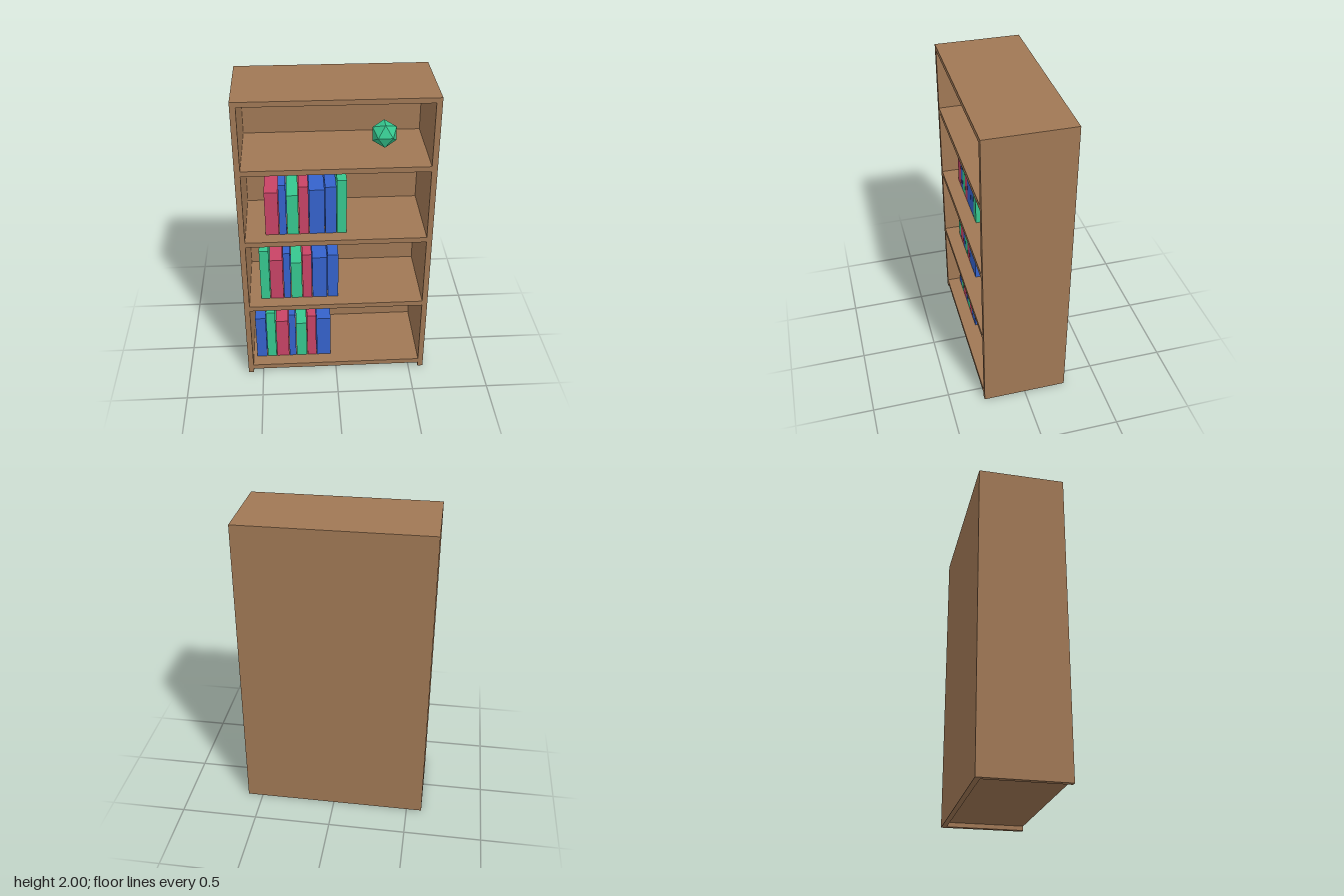
import * as THREE from 'three';

const wood = new THREE.MeshStandardMaterial({ name: 'wood brown', color: 0xa07855 });
const red = new THREE.MeshStandardMaterial({ name: 'book red', color: 0xc84466 });
const blue = new THREE.MeshStandardMaterial({ name: 'book blue', color: 0x3563cc });
const green = new THREE.MeshStandardMaterial({ name: 'bright green', color: 0x36c78f });

// Box given by its lowest and highest corners
function block(name, material, [x0, y0, z0], [x1, y1, z1]) {
  const mesh = new THREE.Mesh(new THREE.BoxGeometry(x1 - x0, y1 - y0, z1 - z0), material);
  mesh.position.set((x0 + x1) / 2, (y0 + y1) / 2, (z0 + z1) / 2);
  mesh.name = name;
  return mesh;
}

export function createModel() {
  const model = new THREE.Group();
  model.name = 'bookcase';

  const W = 0.6, D = 0.275, H = 2, wall = 0.035, board = 0.034;
  const inner = W - wall, backFront = -D + 0.033;

  // Cabinet: two sides, back, top and four shelves
  const cabinet = new THREE.Group();
  cabinet.name = 'cabinet';
  cabinet.add(
    block('leftSide', wood, [inner, 0, -D], [W, H, D]),
    block('rightSide', wood, [-W, 0, -D], [-inner, H, D]),
    block('backPanel', wood, [-inner, 0, -D], [inner, H, backFront]),
    block('topBoard', wood, [-inner, H - 0.032, backFront], [inner, H, D])
  );
  const shelfTops = [0.063, 0.563, 1.063, 1.563];
  shelfTops.forEach((y, i) => {
    cabinet.add(block(`shelf${i + 1}`, wood, [-inner, y - board, backFront], [inner, y, D]));
  });
  model.add(cabinet);

  // Books: a cycle of seven [pitch, height, colour]; each row starts one book later
  const cycle = [
    [0.073, 0.33, blue], [0.064, 0.375, green], [0.087, 0.301, red], [0.049, 0.352, blue],
    [0.075, 0.278, green], [0.064, 0.338, red], [0.099, 0.312, blue]
  ];
  const gap = 0.004;
  for (let row = 0; row < 3; row++) {
    const books = new THREE.Group();
    books.name = `bookRow${row + 1}`;
    const y = shelfTops[row];
    let x = -0.54 + row * 0.051;
    for (let i = 0; i < 7; i++) {
      const [pitch, height, material] = cycle[(i + row) % 7];
      books.add(block(`book${i + 1}`, material, [x, y, -0.205], [x + pitch - gap, y + height, 0.187]));
      x += pitch;
    }
    model.add(books);
  }

  // Faceted ornament on the top shelf
  const ornament = new THREE.Mesh(new THREE.IcosahedronGeometry(0.087, 0), green);
  ornament.name = 'ornament';
  ornament.rotation.y = Math.PI / 2;
  ornament.position.set(0.31, 1.653, 0);
  model.add(ornament);

  return model;
}
